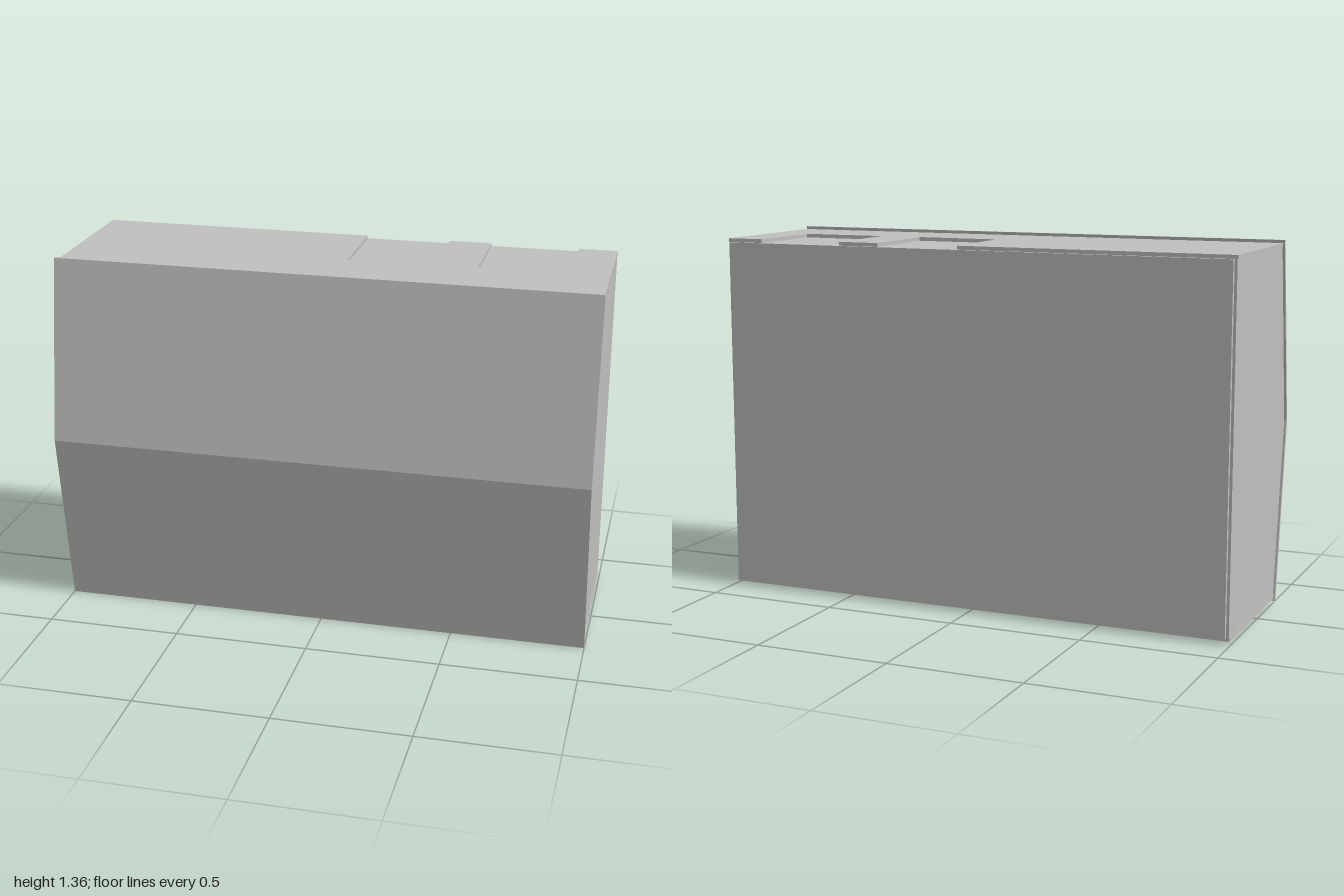
import * as THREE from 'three';

const H = 1.36, MID = H / 2;
const grey = new THREE.MeshStandardMaterial({ color: 0xc0c0c0 });
grey.name = 'plain grey';

function extrude(points, depth) {
  const shape = new THREE.Shape(points.map(([a, b]) => new THREE.Vector2(a, b)));
  return new THREE.ExtrudeGeometry(shape, { depth, bevelEnabled: false });
}

// Profile given as [z, y], running across x and centred on x = 0
function acrossX(points, width) {
  return extrude(points, width).translate(0, 0, -width / 2).rotateY(-Math.PI / 2);
}

// Outline given as [x, z], lying flat with its upper face at top
function flatPlate(points, thickness, top) {
  return extrude(points, thickness).rotateX(Math.PI / 2).translate(0, top, 0);
}

export function createModel() {
  const model = new THREE.Group();
  model.name = 'cabinet';
  const add = (name, geometry, x = 0) => {
    const mesh = new THREE.Mesh(geometry, grey);
    mesh.name = name;
    mesh.position.x = x;
    model.add(mesh);
  };

  // Five-sided cabinet section with a pointed front
  const section = (back) => [
    [back, 0.025], [0.245, 0.025], [0.342, MID], [0.245, H - 0.025], [back, H - 0.025],
  ];

  // Core, whose rear face stands slightly proud of the cladding
  add('core', acrossX(section(-0.36), 1.966));

  // Side cladding
  for (const side of [-1, 1]) {
    add(side > 0 ? 'leftPanel' : 'rightPanel', acrossX(section(-0.345), 0.012), side * 0.987);
  }

  // Folded front panel, held a little clear of the core
  add('frontPanel', acrossX([
    [0.248, 0], [0.259, 0], [0.36, MID], [0.259, H], [0.248, H], [0.348, MID],
  ], 2));

  // Top cladding with two notches open to the rear
  const back = -0.345, front = 0.245, edge = 0.995;
  add('topPanel', flatPlate([
    [-edge, back], [0.04, back], [0.04, 0], [0.36, 0], [0.36, back],
    [0.52, back], [0.52, -0.01], [0.85, -0.01], [0.85, back],
    [edge, back], [edge, front], [-edge, front],
  ], 0.014, H - 0.011));

  // Bottom cladding
  add('bottomPanel', flatPlate([
    [-edge, back], [edge, back], [edge, front], [-edge, front],
  ], 0.014, 0.025));

  return model;
}
